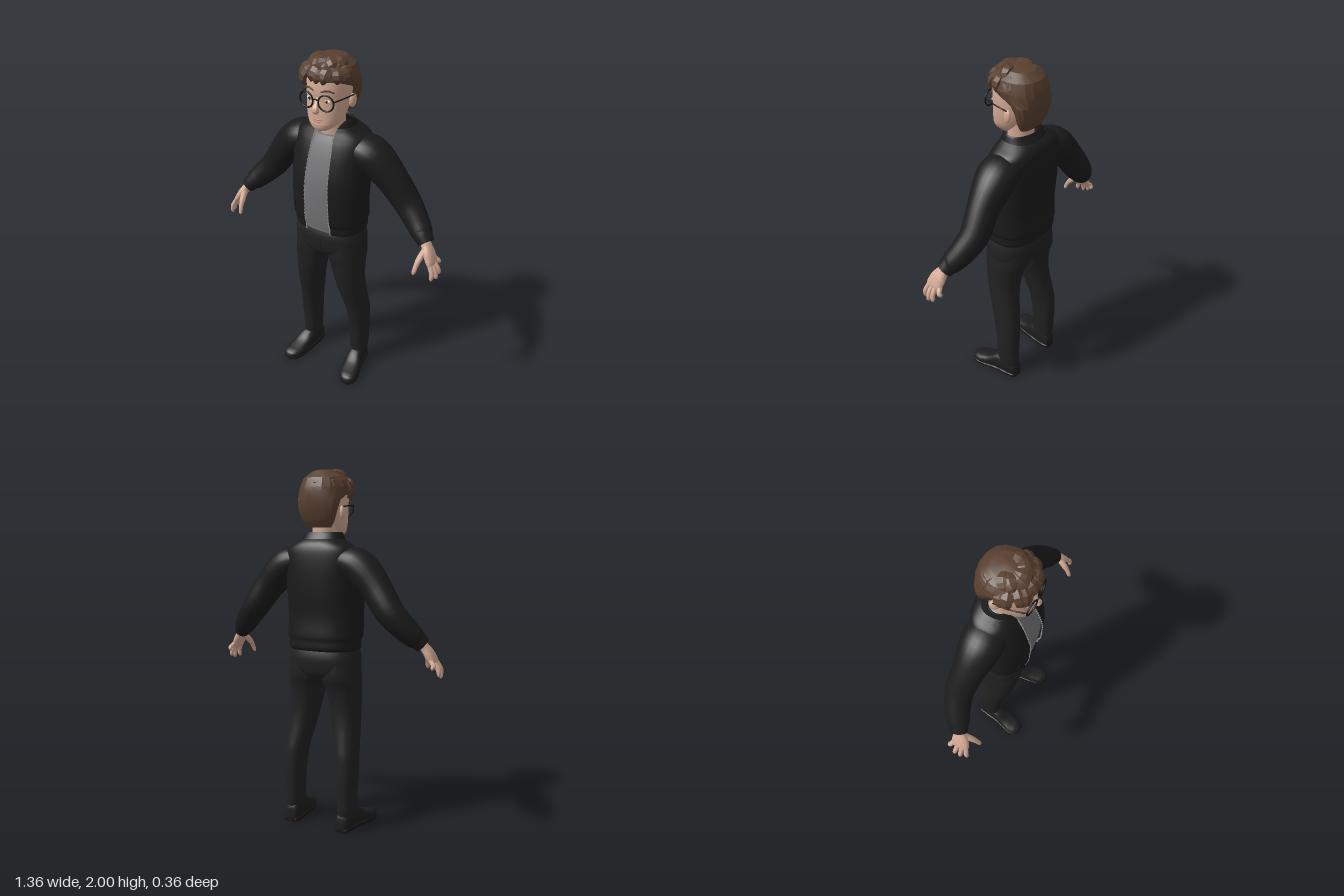
import * as THREE from 'three';
import { toCreasedNormals } from 'three/addons/utils/BufferGeometryUtils.js';

const V = (x, y, z) => new THREE.Vector3(x, y, z);
const mat = (name, color, side = THREE.FrontSide) => {
  const m = new THREE.MeshStandardMaterial({ color, side });
  m.name = name;
  return m;
};

// Catmull-Rom through rows of numbers
function smooth(rows, k = 4) {
  const out = [], at = i => rows[Math.min(Math.max(i, 0), rows.length - 1)];
  for (let i = 0; i < rows.length - 1; i++) {
    for (let s = 0; s < k; s++) {
      const t = s / k;
      out.push(rows[i].map((b, c) => {
        const a = at(i - 1)[c], d = at(i + 1)[c], e = at(i + 2)[c];
        return b + 0.5 * t * (d - a + t * (2 * a - 5 * b + 4 * d - e + t * (3 * (b - d) + e - a)));
      }));
    }
  }
  out.push(at(rows.length - 1));
  return out;
}

// Superellipse ring; t0 leaves a gap around the +v direction
function oval(c, u, v, n, seg, t0 = 0) {
  const se = s => Math.sign(s) * Math.abs(s) ** (2 / n), pts = [];
  for (let i = 0; i < (t0 ? seg + 1 : seg); i++) {
    const t = t0 + (i / seg) * (2 * Math.PI - 2 * t0);
    pts.push(c.clone().addScaledVector(u, se(Math.sin(t))).addScaledVector(v, se(Math.cos(t))));
  }
  return pts;
}

// Skin over rings; closed rings are capped and always wound outwards
function loft(rings, closed = true, crease = 0.9) {
  const n = rings[0].length, pos = rings.flat(), tris = [];
  const wrap = closed ? n : n - 1;
  for (let j = 0; j < rings.length - 1; j++) {
    for (let i = 0; i < wrap; i++) {
      const a = j * n + i, b = j * n + (i + 1) % n;
      tris.push([a, b, a + n], [b, b + n, a + n]);
    }
  }
  if (closed) {
    for (const [j, flip] of [[0, true], [rings.length - 1, false]]) {
      const mid = rings[j].reduce((s, p) => s.add(p), V(0, 0, 0)).divideScalar(n);
      pos.push(mid);
      for (let i = 0; i < n; i++) {
        const a = j * n + i, b = j * n + (i + 1) % n;
        tris.push(flip ? [b, a, pos.length - 1] : [a, b, pos.length - 1]);
      }
    }
    const vol = tris.reduce((s, [a, b, c]) => s + pos[a].dot(pos[b].clone().cross(pos[c])), 0);
    if (vol < 0) tris.forEach(t => t.reverse());
  }
  const g = new THREE.BufferGeometry().setFromPoints(pos);
  g.setIndex(tris.flat());
  return toCreasedNormals(g, crease);
}

// Horizontal sections: [y, centreX, halfWidth, zFront, zBack, gapHalfWidth?]
const rowRing = ([y, cx, w, f, b, gap], n, seg) => oval(V(cx, y, (f + b) / 2), V(w, 0, 0),
  V(0, 0, (f - b) / 2), n, seg, gap ? Math.asin((gap / w) ** (n / 2)) : 0);
const stack = (rows, n = 2.3, seg = 32) =>
  loft(smooth(rows).map(r => rowRing(r, n, seg)), rows[0].length < 6);

// Tube with varying section: [x, y, z, sideRadius, radiusAlongHint]
function limb(rows, hint = V(0, 0, 1), seg = 16, k = 4, crease = 0.9, n = 2) {
  const p = smooth(rows, k);
  return loft(p.map((r, i) => {
    const a = p[Math.max(i - 1, 0)], b = p[Math.min(i + 1, p.length - 1)];
    const t = V(b[0] - a[0], b[1] - a[1], b[2] - a[2]).normalize();
    const h = hint.clone().addScaledVector(t, -hint.dot(t)).normalize();
    return oval(V(r[0], r[1], r[2]), t.cross(h).multiplyScalar(r[3]), h.multiplyScalar(r[4]), n, seg);
  }), true, crease);
}
const mirrorX = (rows, s) => rows.map(([x, ...r]) => [x * s, ...r]);

export function createModel() {
  const root = new THREE.Group();
  root.name = 'standingMan';
  const black = mat('jacketBlack', 0x1b1b1c, THREE.DoubleSide), denim = mat('trouserBlack', 0x212122);
  const leather = mat('shoeBlack', 0x1d1d1d), grey = mat('shirtGrey', 0x757577);
  const skin = mat('skin', 0xd3a994), brown = mat('hairBrown', 0x594030);
  const frame = mat('frameBlack', 0x17130f), lip = mat('lipPink', 0xb9826f);
  const white = mat('eyeWhite', 0xe6e0da), metal = mat('zipGrey', 0x8c8c8c);
  const add = (name, geo, m, parent = root) => {
    const mesh = new THREE.Mesh(geo, m);
    mesh.name = name;
    parent.add(mesh);
    return mesh;
  };
  const ball = (name, m, p, s) => {
    const b = add(name, new THREE.SphereGeometry(1, 20, 14), m);
    b.position.set(...p);
    b.scale.set(...s);
    return b;
  };

  // Jacket shell, open down the front, with hem band and collar
  const jacketRows = [
    [1.02, 0, .196, .128, -.152, .078], [1.035, 0, .204, .14, -.165, .078], [1.075, 0, .203, .142, -.165, .077],
    [1.10, 0, .212, .152, -.168, .077], [1.2, 0, .212, .158, -.162, .075], [1.33, 0, .214, .156, -.172, .072],
    [1.45, 0, .215, .127, -.176, .068], [1.53, 0, .212, .098, -.173, .064], [1.575, 0, .195, .076, -.166, .06],
    [1.605, 0, .152, .062, -.152, .063], [1.625, 0, .122, .056, -.13, .07],
  ];
  add('jacketBody', stack(jacketRows, 2.5, 48), black);
  add('jacketCollar', stack([[1.605, 0, .132, .06, -.135, .064], [1.625, 0, .122, .06, -.124, .068],
    [1.645, 0, .114, .054, -.112, .08], [1.66, 0, .106, .046, -.104, .09], [1.645, 0, .1, .042, -.098, .085]], 2.2, 40), black);
  add('shirt', stack([[1.03, 0, .17, .128, -.13], [1.1, 0, .17, .139, -.13], [1.2, 0, .17, .147, -.13],
    [1.33, 0, .17, .145, -.13], [1.45, 0, .155, .117, -.13], [1.53, 0, .13, .088, -.12], [1.58, 0, .09, .063, -.1]], 2.6), grey);

  // Zip teeth along both front edges
  const zip = new THREE.Group();
  zip.name = 'zip';
  root.add(zip);
  for (const r of smooth(jacketRows.slice(0, 9), 5)) {
    const p = rowRing(r, 2.5, 48)[0];
    for (const s of [-1, 1]) {
      add('zipTooth', new THREE.BoxGeometry(.006, .007, .006), metal, zip).position.set(s * (p.x - .002), p.y, p.z);
    }
  }

  for (const s of [1, -1]) {
    const side = s > 0 ? 'left' : 'right';
    // Sleeve with gathered cuff
    add(side + 'Sleeve', limb(mirrorX([
      [.12, 1.515, -.045, .07, .10], [.2, 1.492, -.045, .092, .112], [.262, 1.443, -.052, .096, .104],
      [.335, 1.365, -.062, .085, .086], [.42, 1.247, -.076, .077, .077], [.49, 1.17, -.055, .068, .068],
      [.54, 1.118, -.028, .058, .06], [.552, 1.107, -.02, .05, .054], [.58, 1.078, -.006, .043, .046]], s), V(0, 0, 1), 24), black);
    add(side + 'PocketWelt', limb(mirrorX([[.165, 1.1, .109, .004, .004], [.14, 1.2, .134, .004, .004]], s), V(0, 0, 1), 6), black);

    // Hand: palm, four fingers and thumb
    const hand = new THREE.Group();
    hand.name = side + 'Hand';
    root.add(hand);
    add('palm', limb(mirrorX([[.56, 1.1, -.012, .026, .034], [.585, 1.068, 0, .024, .034], [.607, 1.035, .012, .024, .046],
      [.63, .995, .022, .019, .05], [.638, .98, .023, .012, .044]], s), V(0, 0, 1), 16, 4, .9, 2.3), skin, hand);
    const tips = [[-.037, .646, .955, -.014], [.002, .668, .917, .01], [.035, .667, .904, .03], [.07, .655, .908, .05]];
    for (const [z, x, y, z0] of tips) {
      add('finger', limb(mirrorX([[.622, 1.005, z0, .013, .014], [(.634 + x) / 2 + .008, (1 + y) / 2, (z0 + z) / 2 + z * .08, .013, .013],
        [x, y + .012, z, .011, .011], [x - .004, y, z, .004, .004]], s), V(0, 0, 1), 10), skin, hand);
    }
    add('thumb', limb(mirrorX([[.59, 1.06, .015, .016, .018], [.578, 1.02, .06, .017, .018], [.572, .985, .088, .013, .013],
      [.568, .95, .103, .011, .011], [.566, .937, .106, .004, .004]], s), V(0, 0, 1), 10), skin, hand);

    // Trouser leg
    const leg = [[.085, .125, .208, .0, -.13], [.13, .12, .219, .004, -.136], [.2, .117, .221, .006, -.136],
      [.3, .113, .225, .012, -.14], [.42, .102, .224, .03, -.136], [.5, .085, .22, .046, -.122], [.6, .065, .213, .076, -.105],
      [.7, .044, .208, .098, -.1], [.8, .017, .209, .108, -.114], [.87, -.005, .208, .118, -.138], [.95, -.01, .198, .12, -.14]];
    add(side + 'TrouserLeg', stack(leg.map(([y, a, b, f, k]) => [y, s * (a + b) / 2, (b - a) / 2, f, k]), 2.3), denim);

    // Shoe and sole: [z, centreX, halfWidth, height]
    const shoe = smooth([[-.136, .163, .02, .06], [-.125, .164, .036, .1], [-.07, .167, .046, .13], [0, .175, .048, .122],
      [.06, .188, .054, .082], [.11, .198, .057, .064], [.15, .204, .048, .054], [.172, .207, .03, .042], [.18, .208, .012, .03]]);
    const slices = (grow, top) => loft(shoe.map(([z, x, w, h]) =>
      oval(V(s * x, top(h) / 2 + .001, z), V(w + grow, 0, 0), V(0, top(h) / 2, 0), grow ? 6 : 2.6, 24)));
    add(side + 'Shoe', slices(0, h => h), leather);
    add(side + 'Sole', slices(.003, () => .02), frame);

    // Ear, eye, brow and spectacles
    ball(side + 'Ear', skin, [s * .112, 1.765, -.025], [.014, .036, .024]).rotation.set(-.15, s * -.3, 0);
    ball(side + 'Eye', white, [s * .05, 1.793, .117], [.018, .009, .007]);
    ball(side + 'Iris', frame, [s * .05, 1.793, .122], [.007, .008, .004]);
    add(side + 'Brow', limb(mirrorX([[.02, 1.838, .126, .004, .005], [.05, 1.848, .121, .006, .005],
      [.085, 1.838, .105, .003, .004]], s), V(0, 0, 1), 8), brown);
    const rim = add(side + 'Rim', new THREE.TorusGeometry(.041, .0042, 8, 32), frame);
    rim.position.set(s * .056, 1.792, .14);
    rim.rotation.y = s * .14;
    add(side + 'Temple', limb(mirrorX([[.096, 1.803, .135, .0035, .0035], [.117, 1.803, .05, .0035, .0035],
      [.118, 1.795, -.03, .0035, .0035]], s), V(0, 1, 0), 8), frame);
  }
  add('spectacleBridge', limb([[-.017, 1.8, .145, .0035, .0035], [0, 1.806, .149, .0035, .0035], [.017, 1.8, .145, .0035, .0035]],
    V(0, 1, 0), 8), frame);

  // Hips joining both legs, with the fly seam
  add('trouserHips', stack([[.845, 0, .03, .06, -.08], [.865, 0, .13, .105, -.12], [.9, 0, .2, .126, -.146],
    [.96, 0, .206, .136, -.156], [1.0, 0, .2, .136, -.153], [1.04, 0, .188, .122, -.142]], 2.5), denim);
  add('flySeam', limb([[.012, 1.0, .134, .003, .004], [.012, .93, .131, .003, .004], [0, .9, .125, .003, .004]], V(0, 0, 1), 6), denim);

  // Neck and head
  add('neck', stack([[1.5, 0, .085, .04, -.1], [1.57, 0, .074, .05, -.09], [1.63, 0, .068, .052, -.085], [1.73, 0, .07, .05, -.085]], 2), skin);
  add('head', stack([[1.622, 0, .022, .112, .03], [1.634, 0, .05, .126, .0], [1.66, 0, .076, .134, -.025], [1.69, 0, .093, .131, -.05],
    [1.74, 0, .104, .129, -.08], [1.79, 0, .108, .127, -.1], [1.85, 0, .111, .129, -.11], [1.92, 0, .1, .11, -.1], [1.97, 0, .05, .05, -.05]], 2.3), skin);
  add('nose', limb([[0, 1.805, .122, .009, .008], [0, 1.775, .138, .011, .01], [0, 1.75, .148, .018, .016], [0, 1.734, .14, .015, .012],
    [0, 1.728, .13, .006, .006]], V(0, 0, 1), 14), skin);
  ball('upperLip', lip, [0, 1.693, .129], [.03, .005, .008]);
  ball('lowerLip', lip, [0, 1.683, .129], [.024, .005, .008]);

  // Hair: faceted cap under layered sweeping locks
  const cap = [[1.685, 0, .07, -.05, -.106], [1.72, 0, .094, -.045, -.13], [1.78, 0, .116, -.042, -.148], [1.83, 0, .124, -.01, -.154],
    [1.865, 0, .128, .085, -.155], [1.895, 0, .131, .132, -.153], [1.945, 0, .115, .125, -.132], [1.98, 0, .07, .08, -.09], [1.993, 0, .02, .03, -.03]];
  add('hairCap', loft(smooth(cap, 1).map(r => rowRing(r, 2.3, 18)), true, .35), brown);
  let seed = 7;
  const rand = () => (seed = (seed * 16807) % 2147483647) / 2147483647;
  const onHair = (az, el, lift) => {
    const z = Math.cos(az) * Math.cos(el);
    return V(Math.sin(az) * Math.cos(el) * (.122 + lift) - .004, 1.875 + Math.sin(el) * (.106 + lift), z * (.133 + lift));
  };
  const lock = (name, az, e0, e1, swirl, w, lift) => {
    const rows = [0, .35, .7, 1].map((t, i) => {
      const p = onHair(az + swirl * t, e0 + (e1 - e0) * t, lift * Math.sin(t * 3));
      return [p.x, p.y, p.z, w * [.45, 1, .9, .25][i], .017 * [.5, 1, 1, .4][i]];
    });
    add(name, limb(rows, onHair(az + swirl / 2, (e0 + e1) / 2, 0).sub(V(0, 1.875, 0)), 6, 2, .3), brown);
  };
  for (let i = 0; i < 9; i++) {
    const a = -1.5 + i * .34;
    lock('fringeLock', a, .75 + rand() * .2, a < -.4 ? -.22 - rand() * .1 : .02 + rand() * .15, .3 - rand() * .6, .032, .012 + rand() * .012);
    lock('crownLock', a - .2, 1.4, .45 + rand() * .2, .5, .036, .006 + rand() * .01);
  }
  for (let i = 0; i < 8; i++) {
    lock('backLock', 1.75 + i * .4, 1.2, .1 - rand() * .4, .3, .045, .002 + rand() * .005);
  }
  return root;
}
